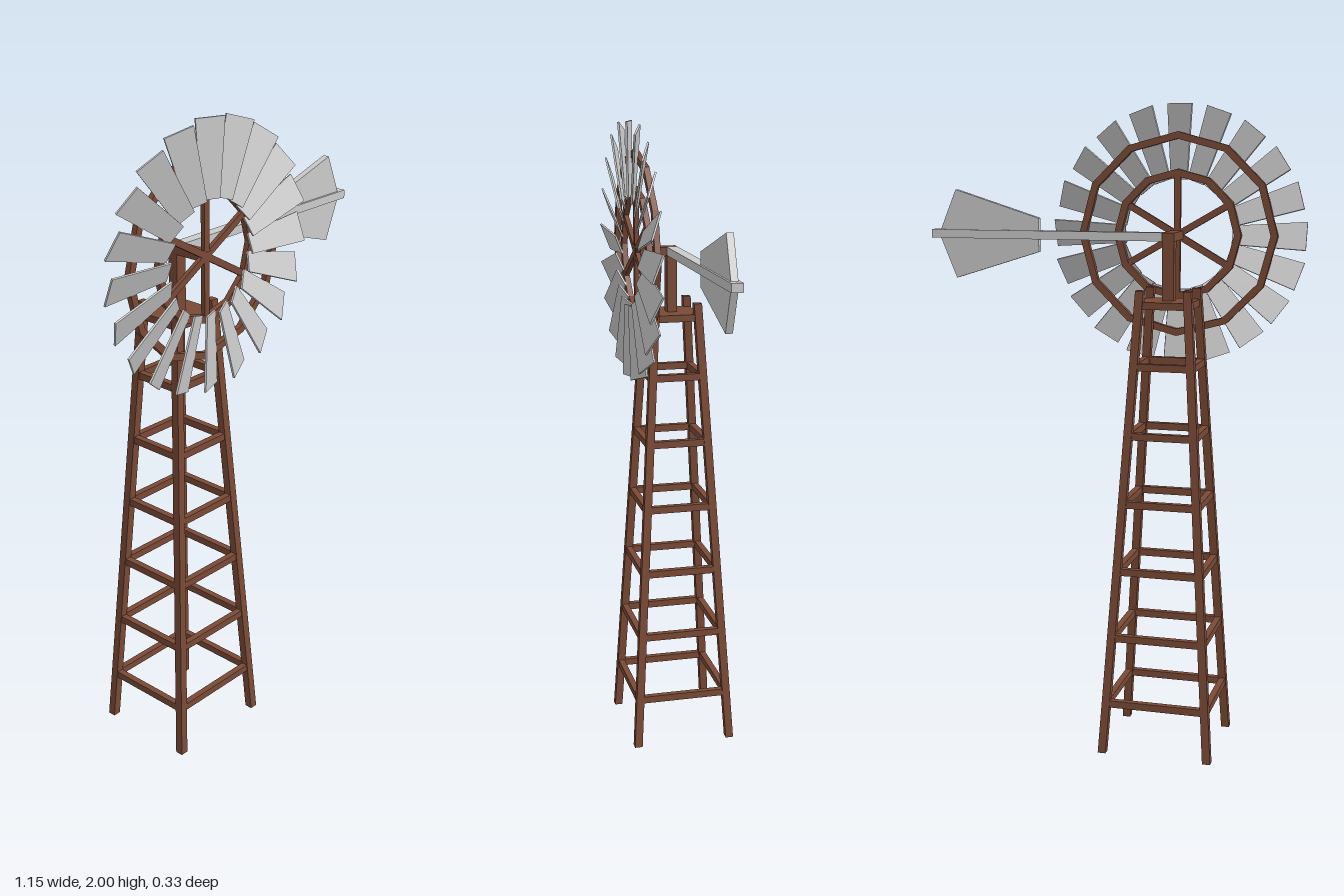
import * as THREE from 'three';

const wood = new THREE.MeshStandardMaterial({ color: 0x7a4a36, flatShading: true });
const metal = new THREE.MeshStandardMaterial({ color: 0xcccccc, flatShading: true });

function add(parent, name, geometry, material, x = 0, y = 0, z = 0) {
  const mesh = new THREE.Mesh(geometry, material);
  mesh.name = name;
  mesh.position.set(x, y, z);
  parent.add(mesh);
  return mesh;
}

function box(parent, name, material, w, h, d, x, y, z) {
  return add(parent, name, new THREE.BoxGeometry(w, h, d), material, x, y, z);
}

// Flat polygon with a centred thickness along z
function plate(points, depth, hole) {
  const shape = new THREE.Shape(points.map(([x, y]) => new THREE.Vector2(x, y)));
  if (hole) shape.holes.push(new THREE.Path(hole.map(([x, y]) => new THREE.Vector2(x, y))));
  const geometry = new THREE.ExtrudeGeometry(shape, { depth, bevelEnabled: false });
  return geometry.translate(0, 0, -depth / 2);
}

function polygon(radius, sides) {
  return Array.from({ length: sides }, (_, i) => {
    const a = (i / sides) * Math.PI * 2;
    return [radius * Math.cos(a), radius * Math.sin(a)];
  });
}

function buildTower() {
  const tower = new THREE.Group();
  tower.name = 'tower';
  const height = 1.445;
  const halfX = (y) => THREE.MathUtils.lerp(0.167, 0.073, y / height);
  const halfZ = (y) => THREE.MathUtils.lerp(0.154, 0.067, y / height);

  // Four legs leaning inwards, with level ends
  for (const sx of [-1, 1]) {
    for (const sz of [-1, 1]) {
      const geometry = new THREE.BoxGeometry(0.025, height, 0.025).translate(0, height / 2, 0);
      const p = geometry.attributes.position;
      for (let i = 0; i < p.count; i++) {
        const y = p.getY(i);
        p.setX(i, p.getX(i) + sx * halfX(y));
        p.setZ(i, p.getZ(i) + sz * halfZ(y));
      }
      geometry.computeVertexNormals();
      add(tower, 'leg', geometry, wood);
    }
  }

  // Six levels of cross bars on all four sides
  for (let i = 0; i < 6; i++) {
    const y = 0.16 + i * 0.211;
    for (const s of [-1, 1]) {
      box(tower, 'crossBar', wood, 2 * halfX(y), 0.022, 0.02, 0, y, s * halfZ(y));
      box(tower, 'crossBar', wood, 0.02, 0.022, 2 * halfZ(y), s * halfX(y), y, 0);
    }
  }

  box(tower, 'platform', wood, 0.165, 0.022, 0.155, 0, 1.4, 0);
  box(tower, 'mast', wood, 0.036, 0.2, 0.032, 0, 1.505, 0);
  box(tower, 'axle', wood, 0.038, 0.026, 0.135, 0, 1.602, 0.05);
  return tower;
}

function buildWheel() {
  const wheel = new THREE.Group();
  wheel.name = 'wheel';

  // Spokes and the two twelve-sided rings
  for (let i = 0; i < 3; i++) {
    box(wheel, 'spoke', wood, 0.02, 0.39, 0.014, 0, 0, 0.11).rotation.z = (i * Math.PI) / 3;
  }
  for (const [name, r] of [['innerRing', 0.2], ['outerRing', 0.312]]) {
    add(wheel, name, plate(polygon(r, 12), 0.018, polygon(r - 0.022, 12)), wood, 0, 0, 0.11);
  }

  // Twenty pitched blades, wider at the tip
  const blade = plate([[-0.03, 0.168], [0.03, 0.168], [0.045, 0.396], [-0.045, 0.396]], 0.006);
  blade.rotateY(-0.37);
  for (let i = 0; i < 20; i++) {
    add(wheel, 'blade', blade, metal, 0, 0, 0.13).rotation.z = (i * Math.PI) / 10;
  }
  return wheel;
}

function buildTail() {
  const tail = new THREE.Group();
  tail.name = 'tail';
  box(tail, 'tailBeam', metal, 0.738, 0.026, 0.034, 0.21, 1.602, -0.001);
  const vane = [[0.23, 1.55], [0.5, 1.465], [0.556, 1.602], [0.5, 1.738], [0.23, 1.653]];
  add(tail, 'tailVane', plate(vane, 0.021), metal, 0, 0, -0.001);
  return tail;
}

export function createModel() {
  const model = new THREE.Group();
  model.name = 'windPump';
  const tower = buildTower();
  tower.position.x = -0.179;
  const wheel = buildWheel();
  wheel.position.set(-0.179, 1.602, 0);
  model.add(tower, wheel, buildTail());
  return model;
}
